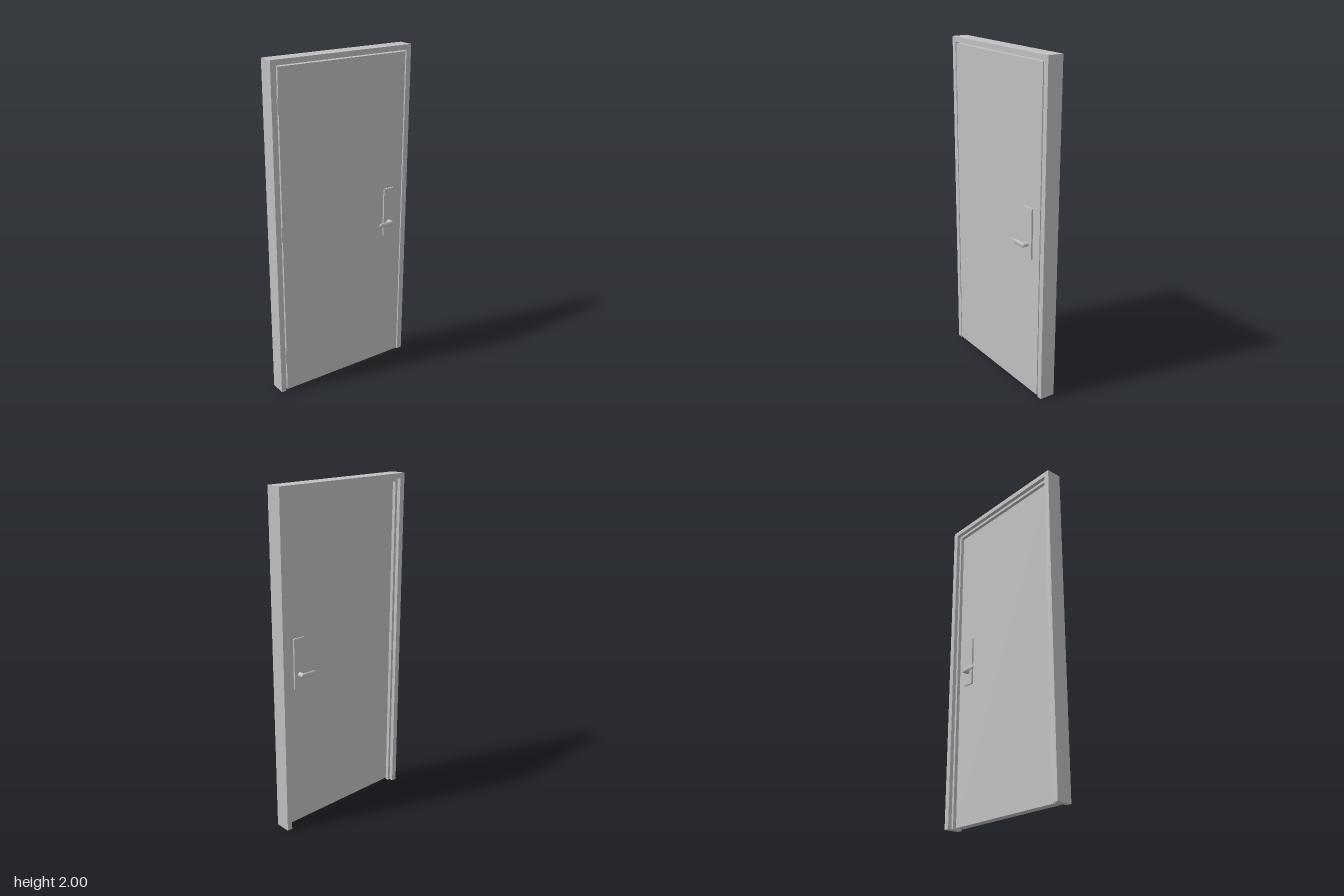
import * as THREE from 'three';

export function createModel() {
  const model = new THREE.Group();
  model.name = 'door';
  const steel = new THREE.MeshStandardMaterial({ color: 0xc0c0c0 });
  steel.name = 'brushed grey';

  const add = (parent, name, geometry, x = 0, y = 0, z = 0) => {
    const mesh = new THREE.Mesh(geometry, steel);
    mesh.name = name;
    mesh.position.set(x, y, z);
    parent.add(mesh);
    return mesh;
  };

  const W = 0.459, H = 2;
  const doorFront = 0.025, doorBack = -0.026, frameBack = -0.07;

  // Three-sided frame layer: open at the floor, opening of half width w and height h
  const frameLayer = (name, w, h, z0, z1) => {
    const outline = [[-W, 0], [-w, 0], [-w, h], [w, h], [w, 0], [W, 0], [W, H], [-W, H]];
    const shape = new THREE.Shape(outline.map(([x, y]) => new THREE.Vector2(x, y)));
    const geometry = new THREE.ExtrudeGeometry(shape, { depth: z1 - z0, bevelEnabled: false });
    add(frame, name, geometry, 0, 0, z0);
  };

  // Frame with a rebate on each face and a projecting stop between them
  const frame = new THREE.Group();
  frame.name = 'frame';
  model.add(frame);
  frameLayer('frontRebate', 0.426, 1.97, doorBack, doorFront);
  frameLayer('doorStop', 0.41, 1.953, -0.047, doorBack);
  frameLayer('backRebate', 0.426, 1.97, frameBack, -0.047);

  // Door leaf, with a thin gap all round
  const bottom = 0.008, top = 1.963;
  add(model, 'doorLeaf',
    new THREE.BoxGeometry(0.836, top - bottom, doorFront - doorBack - 0.001),
    0, (top + bottom) / 2, (doorFront + doorBack) / 2 + 0.0005);

  // Hinge knuckles on the right-hand edge
  for (const y of [0.237, 1.03, 1.755]) {
    add(model, 'hinge', new THREE.CylinderGeometry(0.005, 0.005, 0.09, 16), -0.423, y, 0.0235);
  }

  // Lever handle on a tall plate; dir keeps the plate upright when turned to the back
  const handle = (name, dir, z) => {
    const group = new THREE.Group();
    group.name = name;
    group.position.set(0.319, 0.944, z);
    if (dir < 0) group.rotation.x = Math.PI;
    add(group, 'plate', new THREE.BoxGeometry(0.073, 0.3, 0.01), 0, 0.066 * dir, 0.005);
    const spindle = new THREE.CylinderGeometry(0.014, 0.014, 0.031, 24).rotateX(Math.PI / 2);
    add(group, 'spindle', spindle, 0, 0, 0.0255);
    const lever = new THREE.CapsuleGeometry(0.014, 0.077, 10, 24)
      .rotateZ(Math.PI / 2)
      .scale(1, 1, 0.5);
    add(group, 'lever', lever, -0.0385, 0, 0.041);
    model.add(group);
  };
  handle('frontHandle', 1, doorFront);
  handle('backHandle', -1, doorBack);

  return model;
}
